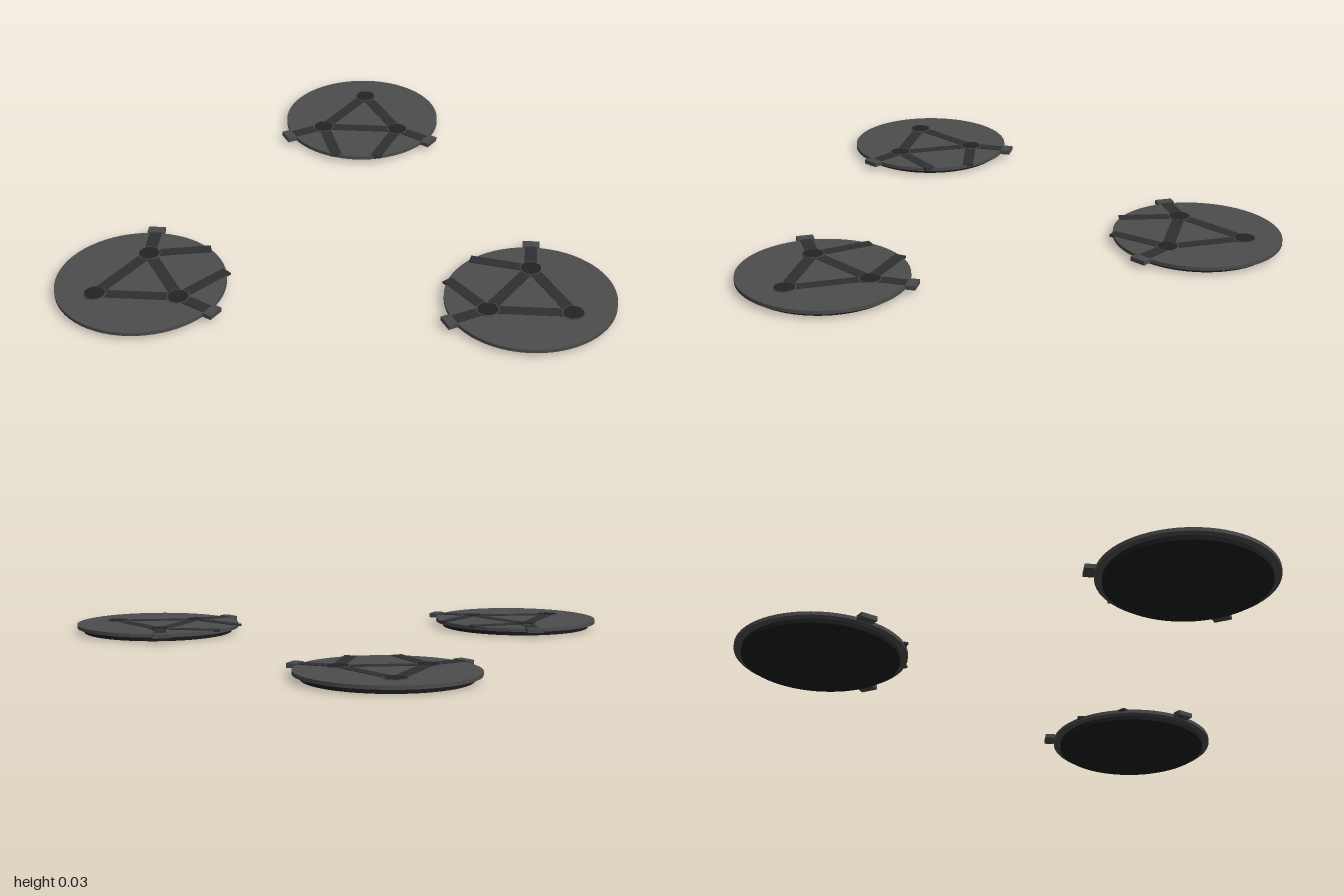
import * as THREE from 'three';

const material = (color) => new THREE.MeshStandardMaterial({ color });
const plateMat = material(0x4c4c4e);
const baseMat = material(0x1a1b1d);
const barMat = material(0x2e2f31);
const nodeMat = material(0x222426);
const clipMat = material(0x48494b);

const TOP = 0.03; // upper face of each plate

function add(parent, name, geometry, mat, x, y, z) {
  const mesh = new THREE.Mesh(geometry, mat);
  mesh.name = name;
  mesh.position.set(x, y, z);
  parent.add(mesh);
  return mesh;
}

function disc(parent, name, mat, radius, y0, y1, x = 0, z = 0, segments = 64) {
  const geometry = new THREE.CylinderGeometry(radius, radius, y1 - y0, segments);
  return add(parent, name, geometry, mat, x, (y0 + y1) / 2, z);
}

// Flat bar between two [x, z] points
function bar(parent, name, mat, a, b, width, y0, y1) {
  const dx = b[0] - a[0], dz = b[1] - a[1];
  const geometry = new THREE.BoxGeometry(Math.hypot(dx, dz), y1 - y0, width);
  const mesh = add(parent, name, geometry, mat, (a[0] + b[0]) / 2, (y0 + y1) / 2, (a[1] + b[1]) / 2);
  mesh.rotation.y = Math.atan2(-dz, dx);
  return mesh;
}

const polar = (radius, angle) => [radius * Math.cos(angle), radius * Math.sin(angle)];

function createPad() {
  const pad = new THREE.Group();
  pad.name = 'pad';
  disc(pad, 'basePlate', baseMat, 0.28, 0, 0.017);
  disc(pad, 'topPlate', plateMat, 0.306, 0.017, TOP);

  // Triangle of bars with a round node at each corner
  const angles = [0, 1, 2].map((i) => (i * Math.PI * 2) / 3);
  const nodes = angles.map((angle) => polar(0.172, angle));
  nodes.forEach((node, i) => {
    bar(pad, 'triangleBar', barMat, node, nodes[(i + 1) % 3], 0.044, 0.024, TOP + 0.0015);
    disc(pad, 'nodeRim', plateMat, 0.041, 0.024, TOP + 0.003, ...node, 32);
    disc(pad, 'node', nodeMat, 0.037, 0.024, TOP + 0.004, ...node, 32);
  });

  // Arms to the neighbouring pads, with clips over the plate edge
  for (const i of [1, 2]) {
    const side = i === 1 ? 1 : -1;
    bar(pad, 'arm', barMat, nodes[i], polar(0.315, angles[i]), 0.045, 0.022, TOP + 0.0025);
    bar(pad, 'edgeClip', clipMat, polar(0.305, angles[i]), polar(0.341, angles[i]), 0.062, 0.018, TOP + 0.004);
    bar(pad, 'brace', barMat, nodes[i], [-0.299, side * 0.077], 0.042, 0.024, TOP + 0.002);
  }
  return pad;
}

export function createModel() {
  const model = new THREE.Group();
  model.name = 'padSet';
  // Three pads on a ring, each turned to face the middle
  for (let i = 0; i < 3; i++) {
    const angle = (i * Math.PI * 2) / 3;
    const pad = createPad();
    const [x, z] = polar(0.8, angle);
    pad.position.set(x - 0.2, 0, z);
    pad.rotation.y = -angle;
    model.add(pad);
  }
  return model;
}
